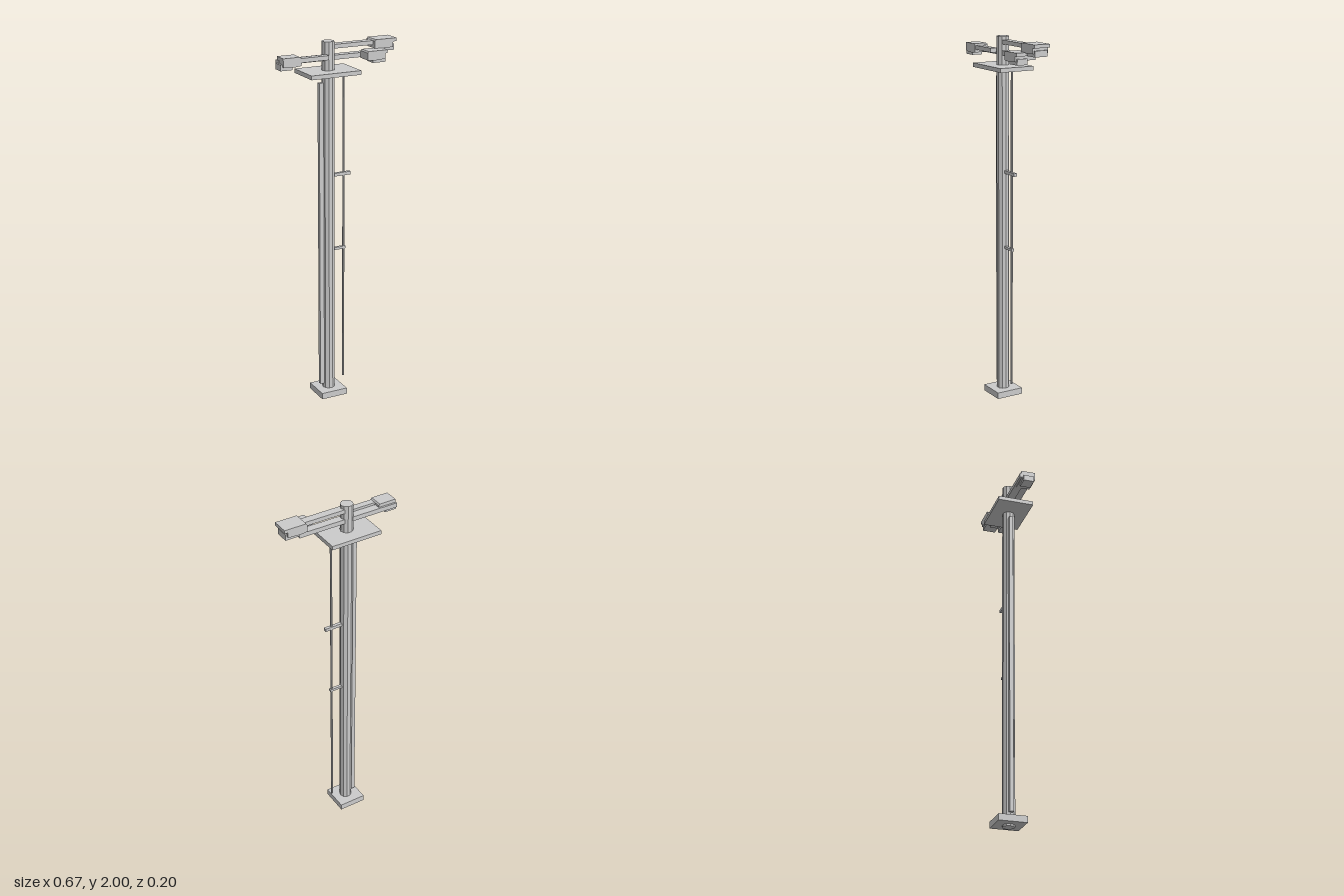
import * as THREE from 'three';

const mat = new THREE.MeshStandardMaterial({ color: 0xcccccc, flatShading: true });
const POLE_X = -0.043;

function add(parent, name, geometry) {
  const mesh = new THREE.Mesh(geometry, mat);
  mesh.name = name;
  parent.add(mesh);
  return mesh;
}

// Box given by its lower and upper limits on each axis
function box(parent, name, [x0, x1], [y0, y1], [z0, z1]) {
  const mesh = add(parent, name, new THREE.BoxGeometry(x1 - x0, y1 - y0, z1 - z0));
  mesh.position.set((x0 + x1) / 2, (y0 + y1) / 2, (z0 + z1) / 2);
  return mesh;
}

// Lamp head: a housing with bevelled rear and an optional hood lip, plus a lens block below.
// dir is +1 or -1 along x; x0 is the end that meets the arm.
function lampHead(parent, name, { x0, dir, body, lip, lens, top, z }) {
  const head = new THREE.Group();
  head.name = name;
  const pts = [
    [0, -0.008], [0.006, 0], [body + lip, 0], [body + lip, -0.018],
    [body, -0.018], [body, -0.046], [0.04, -0.05], [0, -0.046],
  ].map(([x, y]) => new THREE.Vector2(x0 + dir * x, top + y));
  const housing = new THREE.ExtrudeGeometry(new THREE.Shape(pts), { depth: z[1] - z[0], bevelEnabled: false });
  add(head, 'lampHousing', housing).position.z = z[0];
  const ends = lens.map((x) => x0 + dir * x).sort((a, b) => a - b);
  box(head, 'lampLens', ends, [top - 0.064, top - 0.032], [z[0] + 0.009, z[1] - 0.009]);
  parent.add(head);
}

export function createModel() {
  const model = new THREE.Group();
  model.name = 'lampPost';

  // Pole and foot
  const pole = add(model, 'pole', new THREE.CylinderGeometry(0.034, 0.034, 2, 10));
  pole.rotation.y = Math.PI / 2;
  pole.position.set(POLE_X, 1, 0);
  box(model, 'basePlate', [-0.12, 0.033], [0.01, 0.045], [-0.077, 0.077]);

  // Platform under the lamps
  box(model, 'platform', [-0.186, 0.1], [1.828, 1.85], [-0.1, 0.1]);

  // Cable duct on one side, rod with two brackets on the other
  box(model, 'cableDuct', [-0.098, -0.07], [0.07, 1.785], [-0.0105, 0.0105]);
  const rod = add(model, 'rod', new THREE.CylinderGeometry(0.006, 0.006, 1.74, 8));
  rod.position.set(0.049, 0.96, 0);
  box(model, 'upperBracket', [POLE_X, 0.088], [1.27, 1.287], [-0.009, 0.009]);
  box(model, 'lowerBracket', [POLE_X, 0.06], [0.853, 0.867], [-0.008, 0.008]);

  // Arms
  box(model, 'upperArm', [POLE_X, 0.24], [1.96, 1.982], [-0.023, 0.02]);
  box(model, 'lowerArm', [-0.328, 0.24], [1.902, 1.926], [-0.023, 0.02]);
  box(model, 'frontArm', [-0.24, -0.066], [1.913, 1.936], [0.024, 0.06]);

  // Lamp heads
  lampHead(model, 'upperLamp', { x0: 0.21, dir: 1, body: 0.108, lip: 0.019, lens: [0.04, 0.118], top: 1.99, z: [-0.048, 0.044] });
  lampHead(model, 'frontLamp', { x0: 0.138, dir: 1, body: 0.103, lip: 0.014, lens: [0.036, 0.11], top: 1.944, z: [0.02, 0.098] });
  lampHead(model, 'sideLamp', { x0: -0.225, dir: -1, body: 0.1, lip: 0, lens: [0.045, 0.112], top: 1.944, z: [-0.013, 0.063] });

  return model;
}
